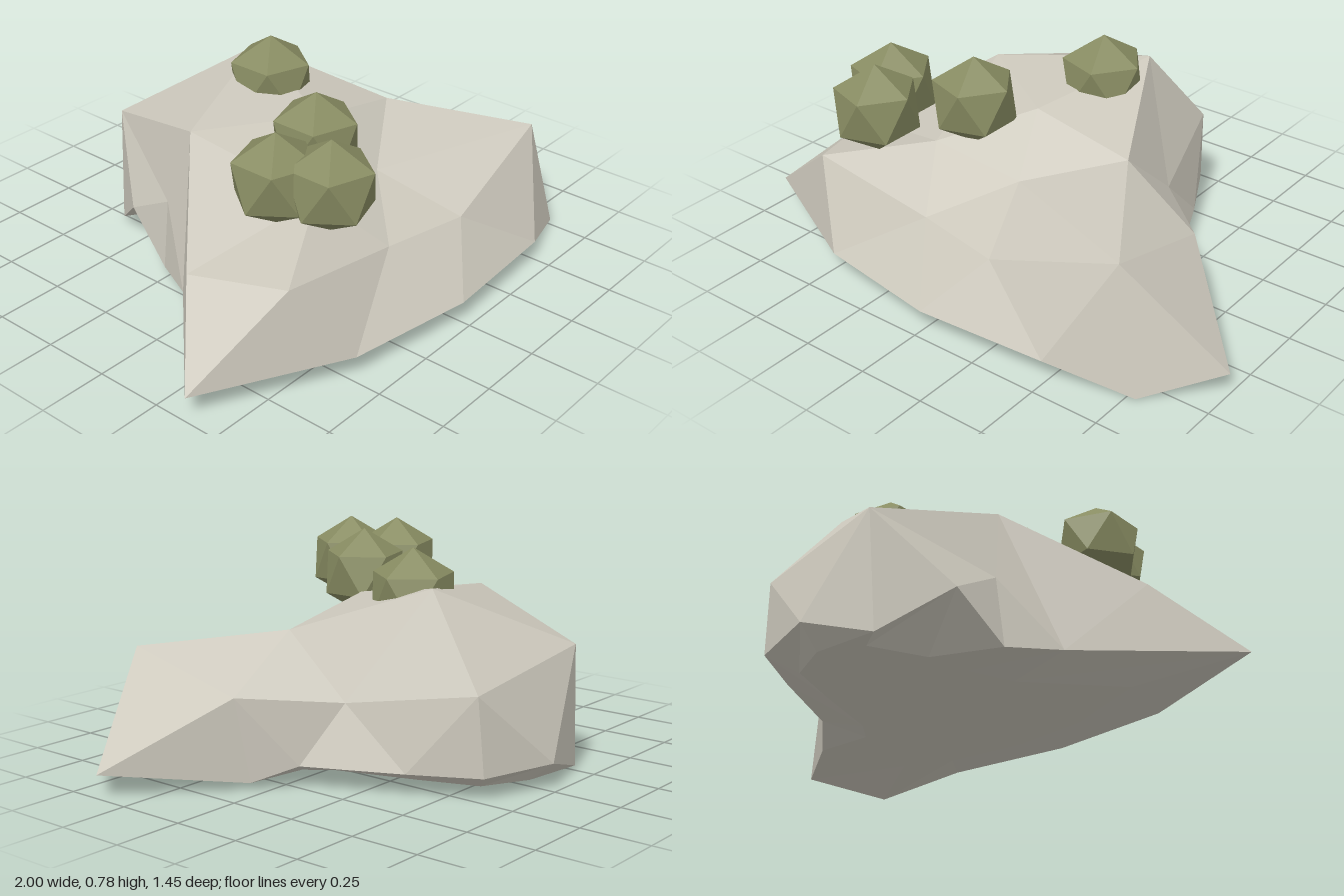
import * as THREE from 'three';

// Bottom-to-top rings of the boulder, each running right tip -> front -> left -> back
const rim = [
  [1, 0.08, 0.38], [0.78, 0, 0.58], [0.49, 0.08, 0.69], [0, 0.08, 0.72], [-0.48, 0.08, 0.64],
  [-1, 0.09, 0.38], [-0.56, 0.07, -0.06], [-0.46, 0.045, -0.25], [-0.42, 0.2, -0.44],
  [-0.27, 0.01, -0.66], [-0.02, 0.09, -0.73], [0.24, 0.08, -0.63], [0.36, 0.08, -0.4],
  [0.51, 0.08, -0.07], [0.62, 0.025, 0.05],
];
const backLeftKnee = [-0.385, 0.585, -0.17]; // shared by shoulder and crown
const shoulder = [
  [0.67, 0.435, 0.53], [0.18, 0.28, 0.57], [-0.15, 0.29, 0.51], [-0.65, 0.36, 0.5],
  [-0.755, 0.33, 0.16], backLeftKnee, [-0.43, 0.3, -0.25], [-0.245, 0.45, -0.665],
  [0.25, 0.355, -0.61], [0.39, 0.29, -0.17], [0.66, 0.32, 0.08],
];
const crown = [
  [0.385, 0.505, 0.08], [0.075, 0.405, 0.28], [-0.28, 0.455, 0.3],
  backLeftKnee, [0.165, 0.665, -0.36],
];
const summit = [[0, 0.58, 0.08]];
// Underside: the rim drawn inwards, less so at the back
const sole = rim.map(([x, , z]) => [x * 0.62, 0.018, z * (z < 0 ? 0.88 : 0.62)]);
const soleCentre = [[0, 0.025, 0]];

// Joins two rings with triangles: 'o' steps along the lower ring, 'i' along the upper one
function zip(out, lower, upper, steps) {
  let a = 0, b = 0;
  const lo = (k) => lower[k % lower.length];
  const up = (k) => upper[k % upper.length];
  for (const step of steps) {
    if (step === 'o') {
      out.push(...lo(a + 1), ...lo(a), ...up(b));
      a++;
    } else {
      out.push(...lo(a), ...up(b), ...up(b + 1));
      b++;
    }
  }
}

function boulderGeometry() {
  const p = [];
  zip(p, soleCentre, sole, 'i'.repeat(sole.length));
  zip(p, sole, rim, 'oi'.repeat(rim.length));
  zip(p, rim, shoulder, 'ooioioioioiiooiooiooioiooi');
  zip(p, shoulder, crown, 'iooioooiooiooioo');
  zip(p, crown, summit, 'o'.repeat(crown.length));
  const geometry = new THREE.BufferGeometry();
  geometry.setAttribute('position', new THREE.Float32BufferAttribute(p, 3));
  geometry.computeVertexNormals();
  return geometry;
}

export function createModel() {
  const stone = new THREE.MeshStandardMaterial({ color: 0xcbc7bb });
  stone.name = 'stone';
  const moss = new THREE.MeshStandardMaterial({ color: 0x888c62 });
  moss.name = 'moss';
  stone.flatShading = moss.flatShading = true;

  const group = new THREE.Group();
  group.name = 'mossyBoulder';

  const boulder = new THREE.Mesh(boulderGeometry(), stone);
  boulder.name = 'boulder';
  group.add(boulder);

  // Moss tufts: icosahedra turned to stand on a corner
  const tuft = new THREE.IcosahedronGeometry(0.163, 0);
  tuft.rotateX(-Math.atan((1 + Math.sqrt(5)) / 2));
  tuft.rotateY(Math.PI / 2);
  const spots = [[-0.477, 0.298], [-0.4, 0.462], [-0.175, 0.211], [0.072, -0.207]];
  spots.forEach(([x, z], i) => {
    const mesh = new THREE.Mesh(tuft, moss);
    mesh.name = `mossTuft${i + 1}`;
    mesh.position.set(x, 0.614, z);
    group.add(mesh);
  });
  return group;
}
